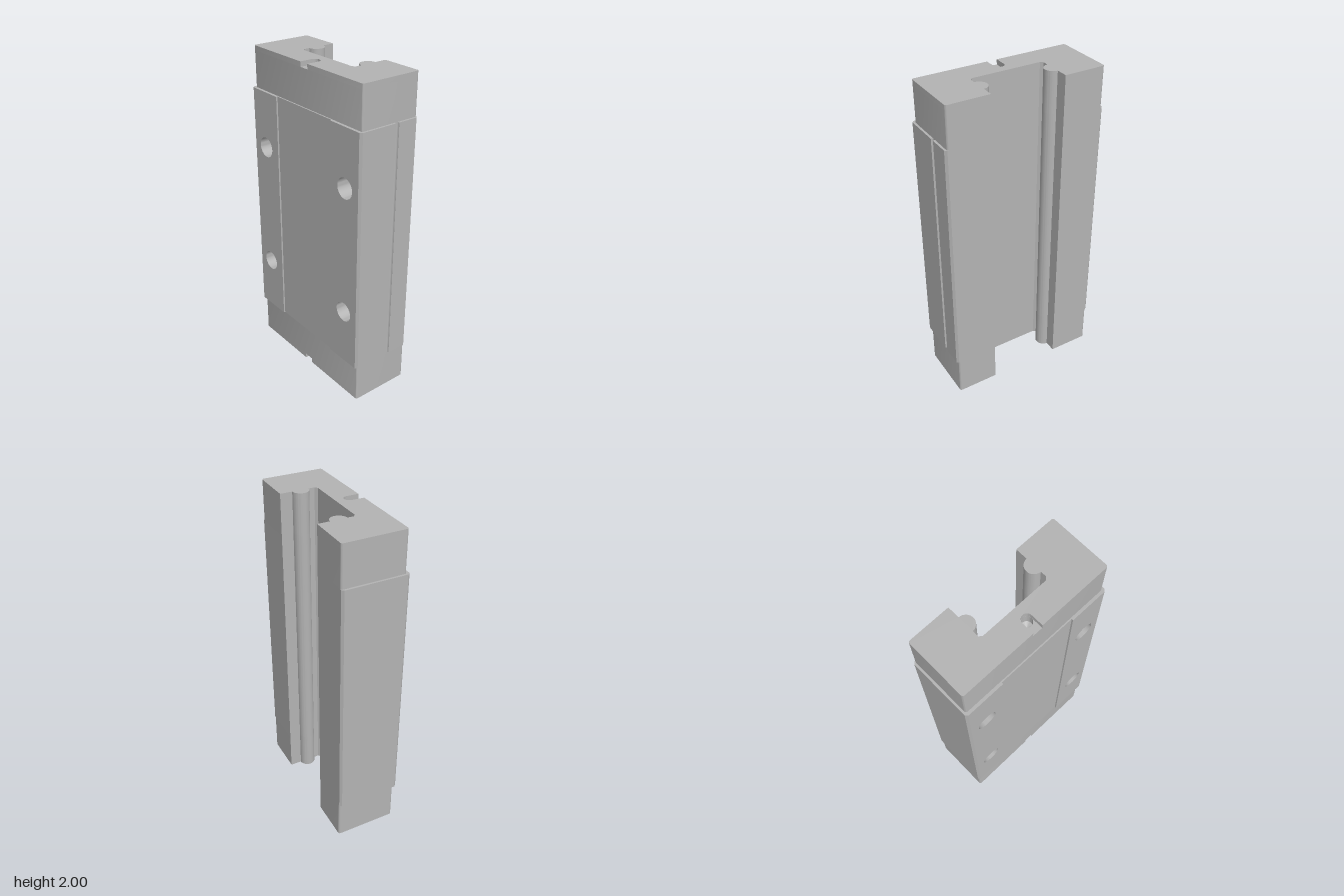
import * as THREE from 'three';
import { toCreasedNormals } from 'three/addons/utils/BufferGeometryUtils.js';

const steel = new THREE.MeshStandardMaterial({ color: 0xb3b3b3, side: THREE.DoubleSide });
steel.name = 'steel grey';

const CAP = 0.25, SLOT_DEPTH = 0.03, SLOT_R = 0.031, SLOT_S = -0.108;

function add(group, name, geometry) {
  const mesh = new THREE.Mesh(geometry, steel);
  mesh.name = name;
  group.add(mesh);
  return mesh;
}

// Cross-section of the carriage, drawn as (x, -z), anticlockwise from the front right corner
function profile({ w, front, corner, slot, body }) {
  const s = new THREE.Shape(), H = Math.PI / 2;
  s.moveTo(w - corner, -front);
  const turn = (cx, cy, x, y) => (body ? s.lineTo(x, y) : s.quadraticCurveTo(cx, cy, x, y));
  turn(w, -front, w, -front + corner);
  if (body) s.absarc(w, 0.05, 0.0128, -H, H, true); // side groove
  s.lineTo(w, 0.2 - corner);
  turn(w, 0.2, w - corner, 0.2);
  // Rail channel with a round ridge on either wall
  s.lineTo(0.228, 0.2);
  s.absarc(0.228, 0.077, 0.05, H, 3 * H, false);
  s.lineTo(0.228, -0.01);
  s.lineTo(0.213, -0.024);
  s.lineTo(-0.213, -0.024);
  s.lineTo(-0.228, -0.01);
  s.absarc(-0.228, 0.077, 0.05, -H, H, false);
  s.lineTo(-0.228, 0.2);
  s.lineTo(-w + corner, 0.2);
  turn(-w, 0.2, -w, 0.2 - corner);
  s.lineTo(-w, -front + corner);
  turn(-w, -front, -w + corner, -front);
  if (body) {
    // Shallow recess between the two mounting pads
    s.lineTo(-0.25, -front);
    s.lineTo(-0.25, -0.19);
    s.lineTo(0.25, -0.19);
    s.lineTo(0.25, -front);
  }
  if (slot) {
    s.lineTo(-SLOT_R, -front);
    s.absarc(0, SLOT_S, SLOT_R, Math.PI, 0, true);
    s.lineTo(SLOT_R, -front);
  }
  return s;
}

// Upright walls along a profile, leaving out the segments that lie at skipS
function walls(shape, y0, y1, skipS) {
  const pts = shape.getPoints(16), pos = [], h = y1 - y0;
  pts.forEach((p, i) => {
    const q = pts[(i + 1) % pts.length];
    const skipped = Math.abs(p.y - skipS) < 1e-6 && Math.abs(q.y - skipS) < 1e-6;
    if (skipped || p.distanceTo(q) < 1e-6) return;
    pos.push(p.x, p.y, 0, q.x, q.y, 0, q.x, q.y, h);
    pos.push(p.x, p.y, 0, q.x, q.y, h, p.x, p.y, h);
  });
  const g = new THREE.BufferGeometry();
  g.setAttribute('position', new THREE.Float32BufferAttribute(pos, 3));
  return toCreasedNormals(g, 0.5).rotateX(-Math.PI / 2).translate(0, y0, 0);
}

// Flat horizontal face at height y
function face(shape, y, down = false) {
  const g = new THREE.ShapeGeometry(shape, 16);
  if (down) {
    const idx = g.index.array;
    for (let i = 0; i < idx.length; i += 3) [idx[i], idx[i + 1]] = [idx[i + 1], idx[i]];
    g.computeVertexNormals();
  }
  return g.rotateX(-Math.PI / 2).translate(0, y, 0);
}

// Drilled blind hole with a conical bottom, opening towards +y
function drilledHole(r, depth) {
  const pts = [[0, -depth - r * 0.6], [r, -depth], [r, 0]].map(p => new THREE.Vector2(...p));
  return toCreasedNormals(new THREE.LatheGeometry(pts, 40), 0.4);
}

function makeBody() {
  const body = new THREE.Group();
  body.name = 'carriageBody';
  const shape = profile({ w: 0.5, front: 0.2, corner: 0.013, body: true });
  add(body, 'bodyWalls', walls(shape, CAP, 2 - CAP, -0.2));
  add(body, 'bodyTopFace', face(shape, 2 - CAP));
  add(body, 'bodyBottomFace', face(shape, CAP, true));

  // Mounting pads, each with two drilled holes
  for (const side of [-1, 1]) {
    const [x0, x1] = side > 0 ? [0.25, 0.487] : [-0.487, -0.25];
    const pad = new THREE.Shape([[x0, CAP], [x1, CAP], [x1, 2 - CAP], [x0, 2 - CAP]]
      .map(p => new THREE.Vector2(...p)));
    for (const y of [0.6, 1.4]) {
      pad.holes.push(new THREE.Path().absarc(side * 0.375, y, 0.0625, 0, Math.PI * 2, true));
      add(body, 'mountingHole', drilledHole(0.0625, 0.2).rotateX(Math.PI / 2)
        .translate(side * 0.375, y, 0.2));
    }
    add(body, 'mountingPad', new THREE.ShapeGeometry(pad, 20).translate(0, 0, 0.2));
  }
  return body;
}

// End cap, built at the top end of the carriage
function makeCap(name) {
  const cap = new THREE.Group();
  cap.name = name;
  const size = { w: 0.487, front: 0.182, corner: 0.014 };
  const slotted = profile({ ...size, slot: true });
  const floorY = 2 - SLOT_DEPTH;
  add(cap, 'capWalls', walls(profile(size), 2 - CAP, floorY));
  add(cap, 'slottedCapWalls', walls(slotted, floorY, 2));
  add(cap, 'capEndFace', face(slotted, 2));

  // Slot floor with the round port in it
  const floor = new THREE.Shape();
  floor.moveTo(-SLOT_R, -size.front);
  floor.lineTo(SLOT_R, -size.front);
  floor.absarc(0, SLOT_S, SLOT_R, 0, Math.PI, false);
  floor.holes.push(new THREE.Path().absarc(0, SLOT_S, SLOT_R - 0.0005, 0, Math.PI * 2, true));
  add(cap, 'slotFloor', face(floor, floorY));
  add(cap, 'port', drilledHole(SLOT_R, 0.06).translate(0, floorY, -SLOT_S));
  return cap;
}

export function createModel() {
  const model = new THREE.Group();
  model.name = 'linearGuideCarriage';
  model.add(makeBody(), makeCap('topEndCap'));
  const bottom = makeCap('bottomEndCap');
  bottom.rotation.z = Math.PI;
  bottom.position.y = 2;
  model.add(bottom);
  return model;
}
